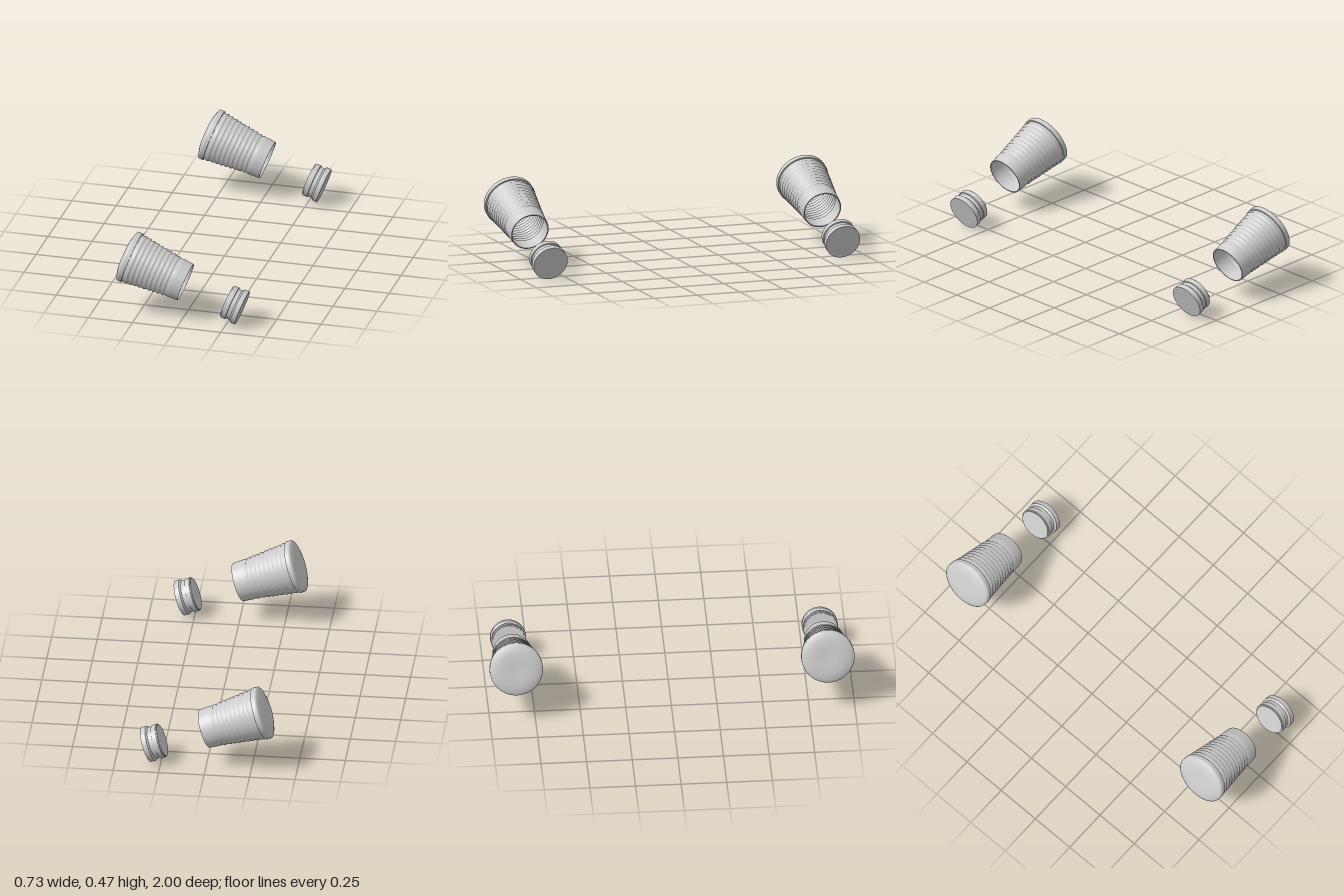
import * as THREE from 'three';

const grey = new THREE.MeshStandardMaterial({ color: 0xcccccc });
grey.name = 'light grey';

// One lathe per run of [radius, along-axis] points; breaks between runs stay sharp.
function turned(name, runs) {
  const group = new THREE.Group();
  group.name = name;
  runs.forEach((run, i) => {
    const points = run.map(([r, s]) => new THREE.Vector2(r, s));
    const mesh = new THREE.Mesh(new THREE.LatheGeometry(points, 72), grey);
    mesh.name = `${name}Surface${i + 1}`;
    group.add(mesh);
  });
  return group;
}

// Tapered row of fine ribs, from the rim towards the neck
function ribs(offset) {
  const points = [];
  const count = 9, pitch = 0.0262;
  for (let i = 0; i < count; i++) {
    const s = -0.313 + i * pitch;
    const r = 0.1365 - i * 0.0032 + offset;
    points.push([r, s], [r + 0.005, s + 0.012], [r + 0.0035, s + 0.018]);
  }
  return points;
}

function makeCup() {
  const cup = new THREE.Group();
  cup.name = 'cup';
  cup.add(
    // closed end with a slightly dished centre and rolled rim
    turned('domedEnd', [
      [[0, -0.364], [0.05, -0.366], [0.095, -0.367], [0.124, -0.359], [0.138, -0.354], [0.1455, -0.349], [0.146, -0.34], [0.146, -0.322]],
      [[0.146, -0.322], [0.137, -0.322]],
    ]),
    turned('ribbedWall', [
      [[0.138, -0.322], ...ribs(0), [0.1085, -0.081], [0.1115, -0.074], [0.112, -0.053]],
    ]),
    turned('neck', [
      [[0.112, -0.053], [0.108, 0]],
      [[0.108, 0], [0.102, 0]],
    ]),
    // hollow inside
    turned('innerWall', [
      [[0.102, 0], [0.103, -0.053], [0.103, -0.081], ...ribs(-0.007).reverse(), [0.131, -0.34]],
      [[0.131, -0.34], [0, -0.345]],
    ]),
  );
  return cup;
}

// Grooved stopper lying on the same axis as the cup
function makePlug() {
  return turned('plug', [
    [[0, 0.2485], [0.088, 0.2485]],
    [[0.088, 0.2485], [0.088, 0.2545]],
    [[0.088, 0.2545], [0.0943, 0.2545]],
    [[0.0943, 0.2545], [0.0943, 0.281]],
    [[0.0943, 0.281], [0.088, 0.283]],
    [[0.088, 0.283], [0.088, 0.305]],
    [[0.088, 0.305], [0.0985, 0.3135]],
    [[0.0985, 0.3135], [0.0985, 0.3415]],
    [[0.0985, 0.3415], [0, 0.3415]],
  ]);
}

export function createModel() {
  const model = new THREE.Group();
  model.name = 'cupsAndPlugs';
  for (const side of [1, -1]) {
    const set = new THREE.Group();
    set.name = side > 0 ? 'frontSet' : 'backSet';
    set.add(makeCup(), makePlug());
    // tilt the axis 20 degrees down towards +x
    set.rotation.z = THREE.MathUtils.degToRad(-110);
    set.position.set(0.0115, 0.2095, side * 0.854);
    model.add(set);
  }
  return model;
}
